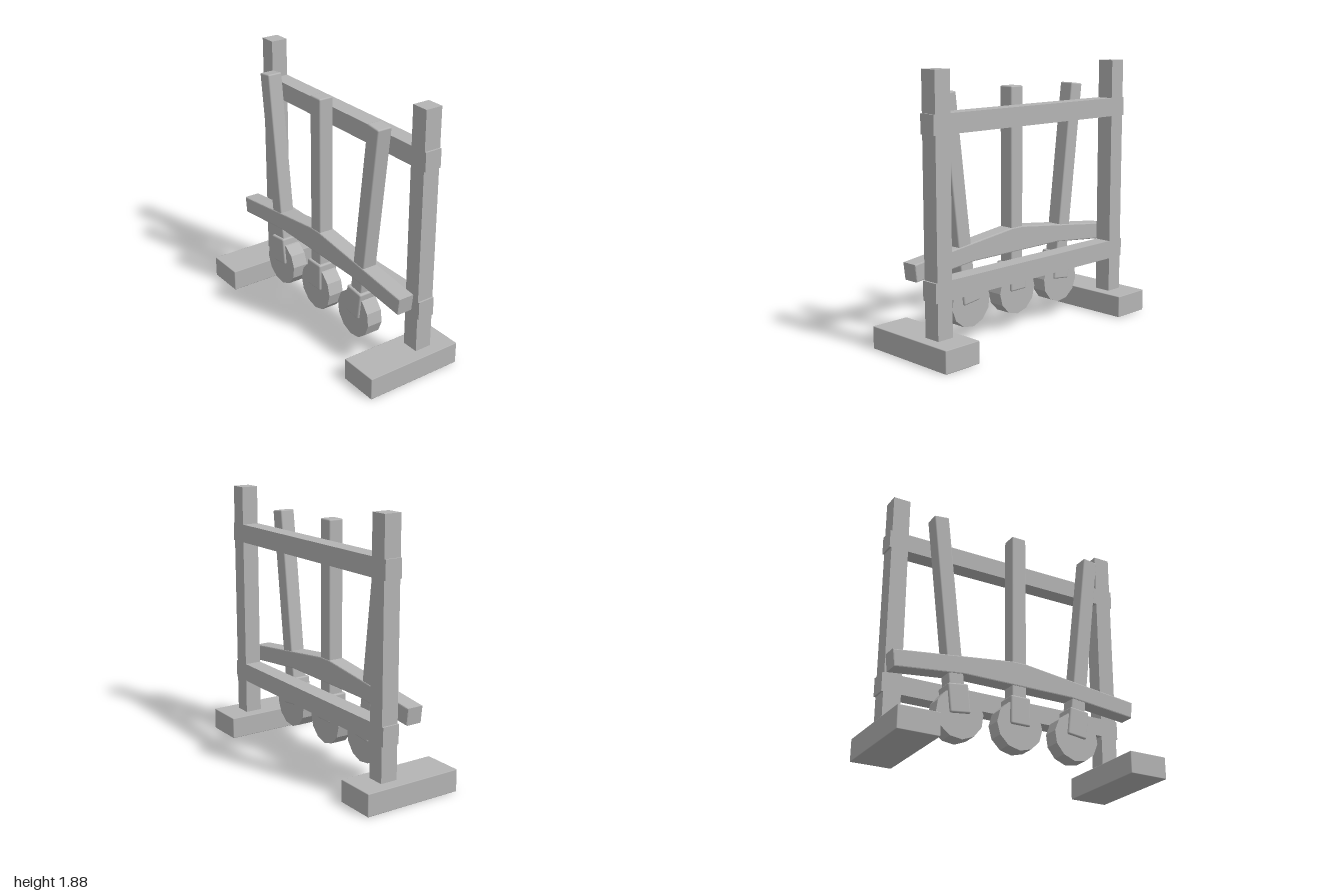
import * as THREE from 'three';
import { RoundedBoxGeometry } from 'three/addons/geometries/RoundedBoxGeometry.js';

const grey = new THREE.MeshStandardMaterial({ color: 0xb4b4b4 });
grey.name = 'plainGrey';

function add(parent, name, geometry, x, y, z) {
  const mesh = new THREE.Mesh(geometry, grey);
  mesh.name = name;
  mesh.position.set(x, y, z);
  parent.add(mesh);
  return mesh;
}

// Front assembly sits on this depth, the rear frame on the other
const FRONT_Z = 0.047;
const FRAME_Z = -0.138;

// Upright handle with a fork block and a twelve-sided wheel; origin at the axle
function createRoller(name, x, tilt) {
  const roller = new THREE.Group();
  roller.name = name;
  roller.position.set(x, 0.284, FRONT_Z);
  roller.rotation.z = tilt;

  const barBottom = 0.15, barTop = 1.448;
  add(roller, 'handleBar',
    new RoundedBoxGeometry(0.112, barTop - barBottom, 0.112, 2, 0.01),
    0, (barBottom + barTop) / 2, 0);
  add(roller, 'forkBlock', new RoundedBoxGeometry(0.15, 0.203, 0.15, 2, 0.012), 0, 0.103, 0);

  const wheelGeometry = new THREE.CylinderGeometry(0.174, 0.174, 0.118, 12).toNonIndexed();
  wheelGeometry.rotateX(Math.PI / 2);
  wheelGeometry.computeVertexNormals();
  add(roller, 'wheel', wheelGeometry, 0, 0, 0);
  return roller;
}

// Crossbeam with drooping arms and a flat underside in the middle
function createBeamGeometry() {
  const half = [[0.05, 0.742], [0.942, 0.634], [0.927, 0.514], [0.42, 0.567]];
  const outline = [...half, ...half.slice().reverse().map(([x, y]) => [-x, y])];
  const shape = new THREE.Shape(outline.map(([x, y]) => new THREE.Vector2(x, y)));
  const bevel = 0.008, width = 0.122;
  const geometry = new THREE.ExtrudeGeometry(shape, {
    depth: width - 2 * bevel,
    bevelThickness: bevel,
    bevelSize: bevel,
    bevelOffset: -bevel,
    bevelSegments: 2,
  });
  geometry.translate(0, 0, -width / 2 + bevel);
  return geometry;
}

export function createModel() {
  const model = new THREE.Group();
  model.name = 'rollerStand';

  // Feet and posts
  for (const [side, s] of [['left', 1], ['right', -1]]) {
    add(model, side + 'Foot', new RoundedBoxGeometry(0.29, 0.157, 0.732, 1, 0.005),
      s * 0.855, 0.0785, 0);
    add(model, side + 'Post', new THREE.BoxGeometry(0.125, 1.735, 0.125),
      s * 0.853, 1.0175, FRAME_Z);
  }

  // Rails joining the posts
  for (const [name, y] of [['upperRail', 1.545], ['lowerRail', 0.475]]) {
    add(model, name, new THREE.BoxGeometry(1.858, 0.132, 0.125), 0, y, FRAME_Z);
  }

  // Crossbeam and the three rollers, the outer two leaning outwards
  add(model, 'crossbeam', createBeamGeometry(), 0, 0, FRONT_Z);
  model.add(createRoller('leftRoller', 0.45, -0.12));
  model.add(createRoller('middleRoller', 0, 0));
  model.add(createRoller('rightRoller', -0.45, 0.12));

  return model;
}
